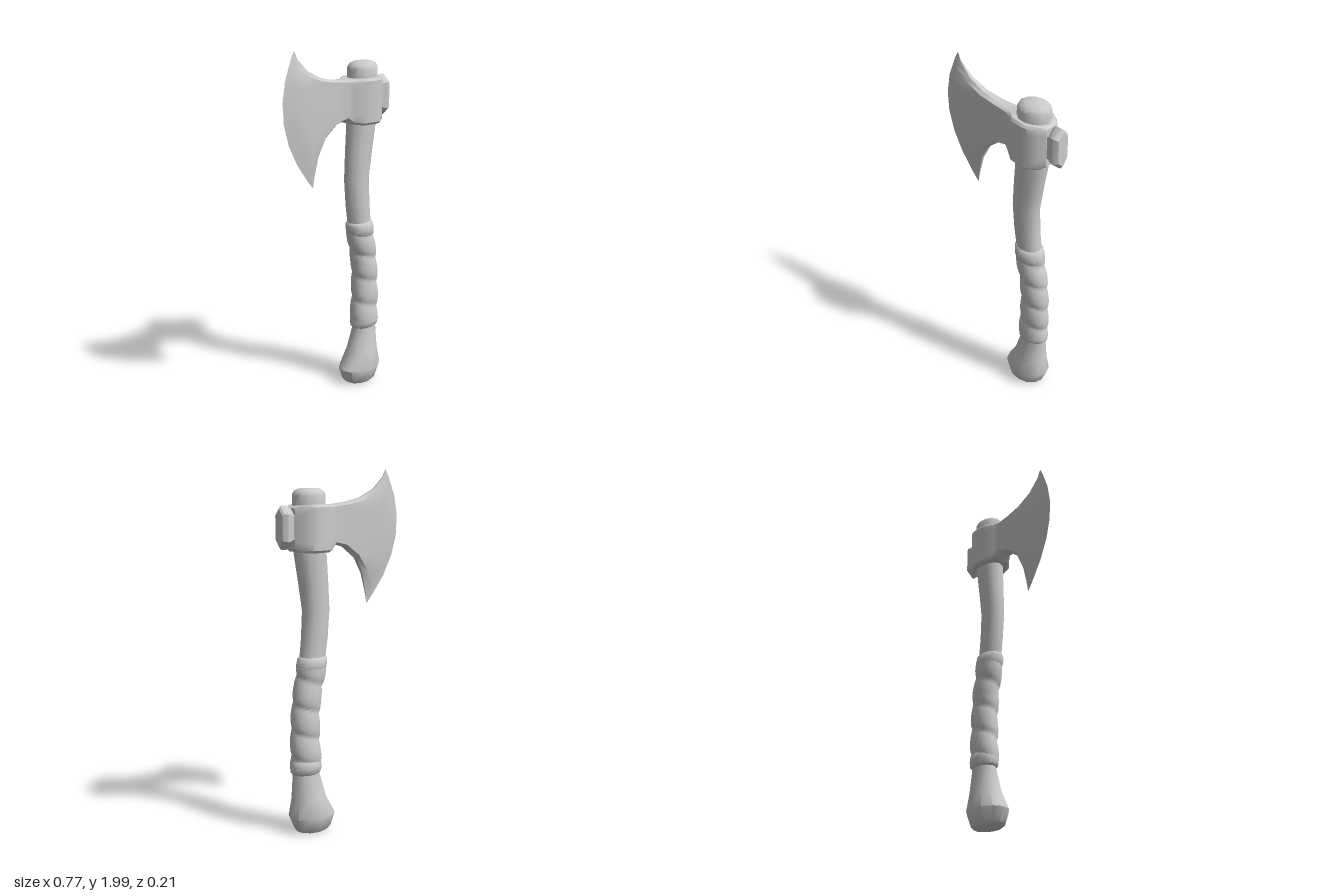
import * as THREE from 'three';
import { mergeVertices, toCreasedNormals } from 'three/addons/utils/BufferGeometryUtils.js';

const material = new THREE.MeshStandardMaterial({ color: 0xcccccc });

// Skins a list of closed rings (arrays of [x, y, z]) and caps both ends.
function loft(name, rings, crease) {
  const n = rings[0].length;
  const pos = rings.flat(2);
  const index = [];
  for (let i = 0; i < rings.length - 1; i++) {
    for (let j = 0; j < n; j++) {
      const a = i * n + j, b = i * n + (j + 1) % n;
      index.push(a, b, a + n, b, b + n, a + n);
    }
  }
  [0, rings.length - 1].forEach((r) => {
    const c = pos.length / 3;
    for (let k = 0; k < 3; k++) pos.push(rings[r].reduce((s, p) => s + p[k], 0) / n);
    for (let j = 0; j < n; j++) {
      const a = r * n + j, b = r * n + (j + 1) % n;
      index.push(...(r === 0 ? [c, b, a] : [c, a, b]));
    }
  });
  // Turn the faces outwards if the enclosed volume comes out negative
  const v = (i) => new THREE.Vector3().fromArray(pos, i * 3);
  let volume = 0;
  for (let i = 0; i < index.length; i += 3) {
    volume += v(index[i]).dot(v(index[i + 1]).cross(v(index[i + 2])));
  }
  if (volume < 0) index.reverse();
  const geo = new THREE.BufferGeometry();
  geo.setAttribute('position', new THREE.Float32BufferAttribute(pos, 3));
  geo.setIndex(index);
  const mesh = new THREE.Mesh(toCreasedNormals(mergeVertices(geo), crease), material);
  mesh.name = name;
  return mesh;
}

// Handle profile: y, left x, right x, half depth
const handleProfile = [
  [0.01, 0.1, 0.285, 0.07], [0.025, 0.08, 0.3, 0.085], [0.1, 0.055, 0.332, 0.105],
  [0.2, 0.11, 0.315, 0.082], [0.34, 0.15, 0.31, 0.058], [0.6, 0.163, 0.305, 0.056],
  [0.75, 0.157, 0.295, 0.056], [0.9, 0.125, 0.27, 0.057], [1.0, 0.107, 0.258, 0.058],
  [1.1, 0.092, 0.248, 0.058], [1.25, 0.08, 0.24, 0.06], [1.4, 0.088, 0.262, 0.065],
  [1.57, 0.1, 0.29, 0.071], [1.8, 0.106, 0.294, 0.077], [1.87, 0.108, 0.292, 0.079],
  [1.888, 0.118, 0.282, 0.066], [1.9, 0.14, 0.26, 0.045],
];

// Handle centre and radii at any height
function handleAt(y) {
  let i = 0;
  while (i < handleProfile.length - 2 && handleProfile[i + 1][0] < y) i++;
  const a = handleProfile[i], b = handleProfile[i + 1];
  const t = (y - a[0]) / (b[0] - a[0]);
  const [x0, x1, rz] = [1, 2, 3].map((k) => a[k] + (b[k] - a[k]) * t);
  return { cx: (x0 + x1) / 2, rx: (x1 - x0) / 2, rz };
}

// Ring around the handle; grow(angle) adds thickness
function handleRing(y, sides, grow) {
  const { cx, rx, rz } = handleAt(y);
  return Array.from({ length: sides }, (_, j) => {
    const a = (j / sides) * Math.PI * 2, g = grow(a);
    return [cx + Math.cos(a) * (rx + g), y, Math.sin(a) * (rz + g)];
  });
}

// Cuff band at one end of the wrap
function cuff(name, y0, y1) {
  const h = y1 - y0;
  const steps = [[0, 0], [0.12, 0.011], [0.5, 0.015], [0.88, 0.011], [1, 0]];
  return loft(name, steps.map(([t, g]) => handleRing(y0 + h * t, 16, () => g)), 0.8);
}

// Strap wound down the grip as a spiral of rounded turns
function wrap() {
  const pitch = 0.15, rings = [];
  for (let i = 0; i <= 48; i++) {
    const y = 0.38 + (0.56 * i) / 48;
    rings.push(handleRing(y, 24, (a) => {
      const f = y / pitch - a / (Math.PI * 2) + 10;
      const t = f - Math.floor(f);
      return 0.002 + 0.014 * Math.pow(Math.sin(Math.PI * Math.pow(t, 0.75)), 0.6);
    }));
  }
  return loft('gripWrap', rings, 0.9);
}

// Blade and eye: sections running from the cutting edge to the back of the eye
// top x, top y, bottom x, bottom y, forward bulge, half depth, depth share at rim
function axeHead() {
  const sections = [
    [-0.305, 2.0, -0.18, 1.26, 0.14, 0, 1],
    [-0.285, 1.955, -0.168, 1.33, 0.115, 0.017, 0.2],
    [-0.22, 1.89, -0.145, 1.43, 0.07, 0.025, 0.35],
    [-0.13, 1.845, -0.1, 1.52, 0.03, 0.031, 0.45],
    [-0.04, 1.825, -0.02, 1.585, 0, 0.036, 0.5],
    [0.05, 1.815, 0.05, 1.603, 0, 0.043, 0.55],
    [0.08, 1.815, 0.08, 1.575, 0, 0.057, 0.75],
    [0.125, 1.818, 0.125, 1.567, 0, 0.092, 0.88],
    [0.2, 1.818, 0.2, 1.567, 0, 0.105, 0.9],
    [0.235, 1.818, 0.235, 1.567, 0, 0.104, 0.9],
    [0.285, 1.815, 0.285, 1.57, 0, 0.072, 0.88],
    [0.313, 1.8, 0.313, 1.585, 0, 0.042, 0.8],
  ];
  const steps = [0, 0.05, 0.2, 0.35, 0.5, 0.65, 0.8, 0.95, 1];
  const rings = sections.map(([tx, ty, bx, by, bulge, hz, rim]) => {
    const side = (s) => steps.map((v) => [
      tx + (bx - tx) * v - bulge * 4 * v * (1 - v),
      ty + (by - ty) * v,
      s * hz * (v === 0 || v === 1 ? rim : 1),
    ]);
    return [...side(1), ...side(-1).reverse()];
  });
  return loft('axeHead', rings, 0.65);
}

// Six-sided hammer poll behind the eye: x, height scale, depth scale
function poll() {
  const outline = [[1, 0], [0.62, 1], [-0.62, 1], [-1, 0], [-0.62, -1], [0.62, -1]];
  const steps = [[0.29, 0.85, 0.75], [0.322, 0.87, 0.75], [0.335, 0.98, 0.85],
    [0.358, 1, 1], [0.376, 0.97, 0.85], [0.385, 0.86, 0.7]];
  return loft('poll', steps.map(([x, sy, sz]) =>
    outline.map(([y, z]) => [x, 1.7 + y * sy * 0.116, z * sz * 0.051])), 0.5);
}

export function createModel() {
  const axe = new THREE.Group();
  axe.name = 'axe';
  axe.add(
    loft('handle', handleProfile.map(([y]) => handleRing(y, 12, () => 0)), 0.75),
    wrap(),
    cuff('upperCuff', 0.91, 1.0),
    cuff('lowerCuff', 0.345, 0.43),
    axeHead(),
    poll(),
  );
  return axe;
}
